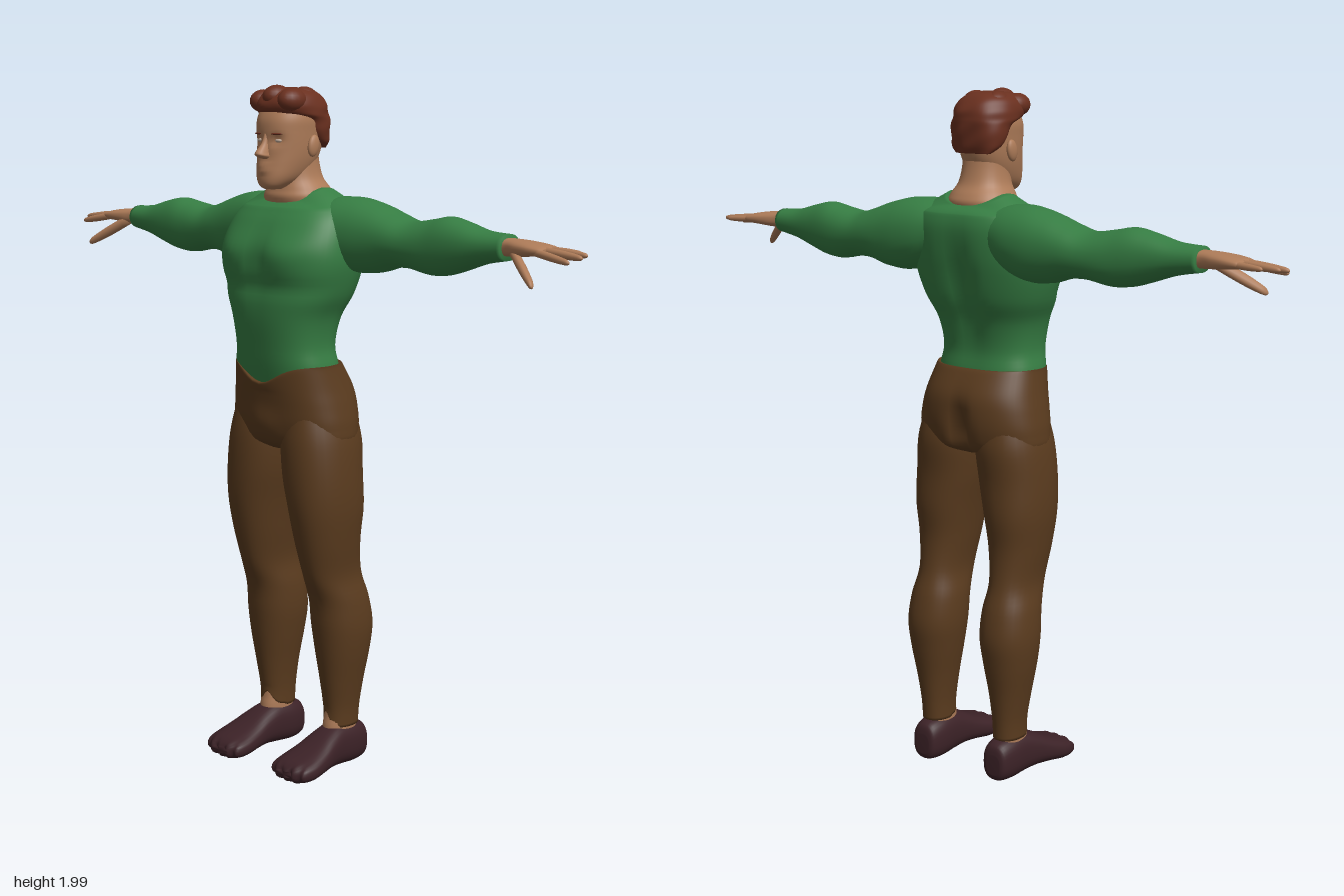
import * as THREE from 'three';

const mat = (name, color) => {
  const m = new THREE.MeshStandardMaterial({ color });
  m.name = name;
  return m;
};
const g = (d, w) => Math.exp(-(d * d) / (w * w));

// Axis maps: u and v span the cross-section, t runs along the part
const ALONG = {
  y: (t, u, v) => new THREE.Vector3(u, t, v),
  x: (t, u, v) => new THREE.Vector3(t, u, v),
  z: (t, u, v) => new THREE.Vector3(u, v, t),
};

// Smooth closed loft. Rows are [t, uMin, uMax, vMin, vMax], splined between rows.
function loft(rows, { axis = 'y', n = 2.2, seg = 32, sub = 5, side = 1, warp } = {}) {
  const last = rows.length - 1, steps = last * sub, pos = [], idx = [];
  const put = (p) => {
    if (warp) warp(p);
    pos.push(p.x * side, p.y, p.z);
  };
  const at = (s) => {
    const i = Math.min(Math.floor(s), last - 1), f = s - i;
    const [a, b, c, d] = [-1, 0, 1, 2].map((k) => rows[Math.max(0, Math.min(last, i + k))]);
    return b.map((_, k) => 0.5 * (2 * b[k] + (c[k] - a[k]) * f
      + (2 * a[k] - 5 * b[k] + 4 * c[k] - d[k]) * f * f
      + (3 * b[k] - a[k] - 3 * c[k] + d[k]) * f * f * f));
  };
  const pw = (x) => Math.sign(x) * Math.abs(x) ** (2 / n);
  for (let r = 0; r <= steps; r++) {
    const [t, u0, u1, v0, v1] = at(r / sub);
    for (let j = 0; j < seg; j++) {
      const a = (j / seg) * Math.PI * 2;
      put(ALONG[axis](t, (u0 + u1) / 2 + pw(Math.cos(a)) * (u1 - u0) / 2,
        (v0 + v1) / 2 + pw(Math.sin(a)) * (v1 - v0) / 2));
      if (r < steps) {
        const p = r * seg + j, q = r * seg + (j + 1) % seg;
        idx.push(p, p + seg, q, q, p + seg, q + seg);
      }
    }
  }
  // End caps
  for (const [row, ring] of [[rows[0], 0], [rows[last], steps * seg]]) {
    const c = pos.length / 3;
    put(ALONG[axis](row[0], (row[1] + row[2]) / 2, (row[3] + row[4]) / 2));
    for (let j = 0; j < seg; j++) {
      const p = ring + j, q = ring + (j + 1) % seg;
      if (ring) idx.push(c, q, p); else idx.push(c, p, q);
    }
  }
  // Turn the faces outward whatever the axis or mirroring
  let vol = 0;
  const P = (i) => new THREE.Vector3().fromArray(pos, i * 3);
  for (let i = 0; i < idx.length; i += 3) vol += P(idx[i]).dot(P(idx[i + 1]).cross(P(idx[i + 2])));
  if (vol < 0) idx.reverse();
  const geo = new THREE.BufferGeometry();
  geo.setAttribute('position', new THREE.Float32BufferAttribute(pos, 3));
  geo.setIndex(idx);
  geo.computeVertexNormals();
  return geo;
}

// Symmetric body rows: [y, halfWidth, zBack, zFront]
const sym = (rows) => rows.map(([y, w, b, f]) => [y, -w, w, b, f]);

export function createModel() {
  const model = new THREE.Group();
  const shirt = mat('green shirt', 0x367d43), trousers = mat('brown trousers', 0x5a3b1e);
  const skin = mat('skin', 0xad7b58), hair = mat('auburn hair', 0x6a301f);
  const shoe = mat('dark shoes', 0x3c2227), eye = mat('eye', 0xb9a493);
  const add = (name, geo, m, parent = model) => {
    const mesh = new THREE.Mesh(geo, m);
    mesh.name = name;
    parent.add(mesh);
    return mesh;
  };
  const blob = (name, m, p, s, parent) => {
    const mesh = add(name, new THREE.SphereGeometry(1, 20, 14), m, parent);
    mesh.position.set(...p);
    mesh.scale.set(...s);
    return mesh;
  };

  // Shirt body with chest muscles, spine groove and scooped collar
  add('shirtBody', loft(sym([
    [1.1, 0.155, -0.09, 0.11], [1.2, 0.163, -0.09, 0.13], [1.27, 0.152, -0.083, 0.14],
    [1.35, 0.165, -0.1, 0.15], [1.42, 0.198, -0.13, 0.152], [1.5, 0.221, -0.15, 0.152],
    [1.56, 0.222, -0.16, 0.145], [1.62, 0.21, -0.163, 0.115], [1.66, 0.185, -0.155, 0.085],
    [1.69, 0.145, -0.14, 0.064], [1.715, 0.1, -0.115, 0.045],
  ]), {
    n: 2.5, seg: 56, warp: (p) => {
      const { x, y, z } = p;
      if (z > 0) {
        p.z += 0.014 * g(Math.abs(x) - 0.1, 0.07) * g(y - 1.53, 0.055)
          - 0.008 * g(x, 0.025) * g(y - 1.52, 0.09) - 0.006 * g(y - 1.44, 0.025);
      } else p.z += 0.024 * g(x, 0.04) * g(y - 1.45, 0.14);
      if (y > 1.66) p.y -= (y - 1.66) * 0.55 * Math.min(1, ((z + 0.035) / 0.08) ** 2);
    },
  }), shirt);

  // Hips with dipped waistband, seat cleft
  add('hips', loft(sym([
    [1.22, 0.168, -0.1, 0.134], [1.205, 0.17, -0.112, 0.136], [1.15, 0.182, -0.142, 0.132],
    [1.1, 0.194, -0.15, 0.125], [1.04, 0.204, -0.146, 0.116], [0.99, 0.195, -0.128, 0.1],
    [0.965, 0.1, -0.08, 0.06],
  ]), {
    n: 2.4, seg: 56, warp: (p) => {
      const { x, y, z } = p;
      if (z > 0 && y > 1.14) p.y -= 0.055 * g(x, 0.085) * (y - 1.14) / 0.08;
      if (z > 0) p.z += 0.012 * g(x, 0.05) * g(y - 1.04, 0.05);
      else p.z += 0.04 * g(x, 0.025) * g(y - 1.04, 0.08);
    },
  }), trousers);

  // Neck
  add('neck', loft(sym([
    [1.64, 0.09, -0.1, 0.05], [1.685, 0.1, -0.118, 0.068], [1.71, 0.092, -0.11, 0.063],
    [1.74, 0.074, -0.09, 0.058], [1.78, 0.066, -0.078, 0.055], [1.83, 0.064, -0.07, 0.05],
  ])), skin);

  const head = new THREE.Group();
  head.name = 'head';
  model.add(head);
  // Skull and face, with hollowed eye sockets
  add('face', loft(sym([
    [1.712, 0.022, 0.055, 0.1], [1.722, 0.038, 0.03, 0.115], [1.745, 0.056, -0.02, 0.119],
    [1.78, 0.069, -0.06, 0.114], [1.82, 0.077, -0.08, 0.109], [1.87, 0.081, -0.087, 0.109],
    [1.91, 0.082, -0.088, 0.104], [1.95, 0.068, -0.07, 0.08], [1.975, 0.03, -0.03, 0.04],
  ]), {
    n: 2.3, seg: 48, warp: (p) => {
      if (p.z < 0.03) return;
      p.z -= 0.012 * g(Math.abs(p.x) - 0.034, 0.018) * g(p.y - 1.848, 0.014);
      p.z += 0.006 * g(p.x, 0.022) * (g(p.y - 1.778, 0.008) + g(p.y - 1.763, 0.007));
    },
  }), skin, head);
  add('nose', loft(sym([
    [1.87, 0.007, 0.09, 0.108], [1.84, 0.009, 0.085, 0.12], [1.815, 0.015, 0.085, 0.143],
    [1.805, 0.018, 0.085, 0.139], [1.797, 0.013, 0.085, 0.118],
  ]), { seg: 16 }), skin, head);
  for (const s of [1, -1]) {
    blob('ear', skin, [s * 0.083, 1.832, 0], [0.011, 0.031, 0.02], head).rotation.x = -0.2;
    blob('eye', eye, [s * 0.034, 1.847, 0.089], [0.013, 0.006, 0.008], head);
    blob('eyebrow', hair, [s * 0.036, 1.866, 0.099], [0.019, 0.003, 0.005], head).rotation.y = s * 0.3;
  }

  // Hair: swept cap plus wavy locks
  add('hairCap', loft(sym([
    [1.825, 0.06, -0.088, -0.055], [1.845, 0.08, -0.094, -0.015], [1.875, 0.087, -0.098, 0.014],
    [1.905, 0.09, -0.1, 0.035], [1.922, 0.091, -0.1, 0.092], [1.945, 0.09, -0.096, 0.107],
    [1.972, 0.076, -0.076, 0.094], [1.988, 0.05, -0.05, 0.07], [1.993, 0.015, -0.01, 0.03],
  ]), {
    n: 2.3, seg: 56, warp: (p) => {
      const k = 1 + 0.02 * Math.sin(p.x * 70 + p.y * 50) * Math.sin(p.z * 45 + p.y * 60);
      p.x *= k;
      p.z *= k;
    },
  }), hair, head);
  const locks = [[-0.055, 1.955, 0.06, 0.034], [0, 1.967, 0.062, 0.035], [0.053, 1.957, 0.055, 0.036],
    [-0.04, 1.963, -0.01, 0.032], [0.035, 1.963, -0.01, 0.034]];
  for (const [x, y, z, r] of locks) blob('hairLock', hair, [x, y, z], [r, r * 0.95, r * 1.3], head);

  for (const side of [1, -1]) {
    const label = side > 0 ? 'left' : 'right';
    const limb = (name, rows, m, opts) => add(label + name, loft(rows, { side, ...opts }), m);

    // Sleeve with shoulder, upper arm and forearm swells
    limb('Sleeve', [
      [0.08, 1.54, 1.68, -0.14, 0.03], [0.15, 1.5, 1.692, -0.16, 0.045], [0.22, 1.482, 1.69, -0.166, 0.036],
      [0.29, 1.487, 1.673, -0.163, 0.025], [0.35, 1.504, 1.652, -0.158, 0.018], [0.41, 1.506, 1.637, -0.15, 0.012],
      [0.48, 1.494, 1.646, -0.142, 0.008], [0.54, 1.498, 1.656, -0.133, 0.006], [0.6, 1.515, 1.645, -0.122, 0.002],
      [0.67, 1.538, 1.627, -0.11, -0.006], [0.745, 1.552, 1.622, -0.1, -0.014],
    ], shirt, { axis: 'x' });

    // Hand: palm, four fingers and thumb
    limb('Palm', [
      [0.71, 1.562, 1.612, -0.09, -0.024], [0.75, 1.564, 1.612, -0.09, -0.024], [0.79, 1.566, 1.61, -0.099, -0.014],
      [0.83, 1.57, 1.606, -0.105, -0.009], [0.865, 1.573, 1.6, -0.104, -0.012], [0.88, 1.58, 1.594, -0.095, -0.02],
    ], skin, { axis: 'x', n: 2.6 });
    const finger = (name, a, b, r) => {
      const rows = [[0, 1], [0.5, 1.02], [0.85, 0.8], [0.96, 0.55], [1, 0.15]].map(([t, k]) => {
        const [x, y, z] = a.map((v, i) => v + (b[i] - v) * t);
        return [x, y - r * k, y + r * k, z - r * k, z + r * k];
      });
      limb(name, rows, skin, { axis: 'x', seg: 12, n: 2, sub: 3 });
    };
    finger('IndexFinger', [0.85, 1.585, -0.024], [0.972, 1.565, -0.012], 0.0105);
    finger('MiddleFinger', [0.85, 1.588, -0.046], [0.99, 1.576, -0.042], 0.011);
    finger('RingFinger', [0.85, 1.588, -0.069], [0.982, 1.58, -0.075], 0.0105);
    finger('LittleFinger', [0.85, 1.586, -0.091], [0.945, 1.582, -0.101], 0.009);
    finger('Thumb', [0.77, 1.58, -0.04], [0.89, 1.502, 0.03], 0.016);

    // Trouser leg: thigh, knee, calf and a hem notched at the front
    limb('TrouserLeg', [
      [1.08, 0.02, 0.185, -0.12, 0.1], [1.0, 0.004, 0.208, -0.136, 0.113], [0.9, 0.012, 0.219, -0.13, 0.115],
      [0.8, 0.033, 0.22, -0.13, 0.108], [0.7, 0.05, 0.209, -0.121, 0.09], [0.6, 0.064, 0.197, -0.13, 0.064],
      [0.52, 0.054, 0.211, -0.153, 0.033], [0.44, 0.053, 0.217, -0.165, 0.023], [0.36, 0.064, 0.209, -0.156, 0.013],
      [0.27, 0.08, 0.192, -0.141, 0], [0.19, 0.09, 0.179, -0.131, -0.011], [0.13, 0.092, 0.176, -0.127, -0.012],
    ], trousers, {
      warp: (p) => {
        if (p.y < 0.2 && p.z > -0.06) p.y += 0.05 * g(p.x - 0.125, 0.022) * (0.2 - p.y) / 0.07;
      },
    });
    limb('Ankle', [
      [0.08, 0.096, 0.173, -0.123, -0.004], [0.13, 0.095, 0.173, -0.123, -0.007], [0.16, 0.095, 0.173, -0.124, -0.013],
      [0.2, 0.098, 0.17, -0.122, -0.018],
    ], skin);

    // Soft shoe with faint toe ridges
    limb('Shoe', [
      [-0.153, 0.11, 0.158, 0.03, 0.09], [-0.143, 0.093, 0.173, 0.012, 0.12], [-0.1, 0.083, 0.183, 0.006, 0.134],
      [-0.04, 0.083, 0.187, 0.01, 0.137], [0.01, 0.08, 0.197, 0.014, 0.121], [0.06, 0.073, 0.209, 0.012, 0.097],
      [0.11, 0.067, 0.216, 0.006, 0.078], [0.145, 0.07, 0.211, 0.007, 0.067], [0.163, 0.082, 0.196, 0.014, 0.055],
      [0.17, 0.105, 0.168, 0.025, 0.042],
    ], shoe, {
      axis: 'z', n: 2.5, warp: (p) => {
        if (p.z > 0.08) p.z += 0.005 * Math.sin(p.x * 190) * (p.z - 0.08) / 0.09;
      },
    });
  }
  return model;
}
